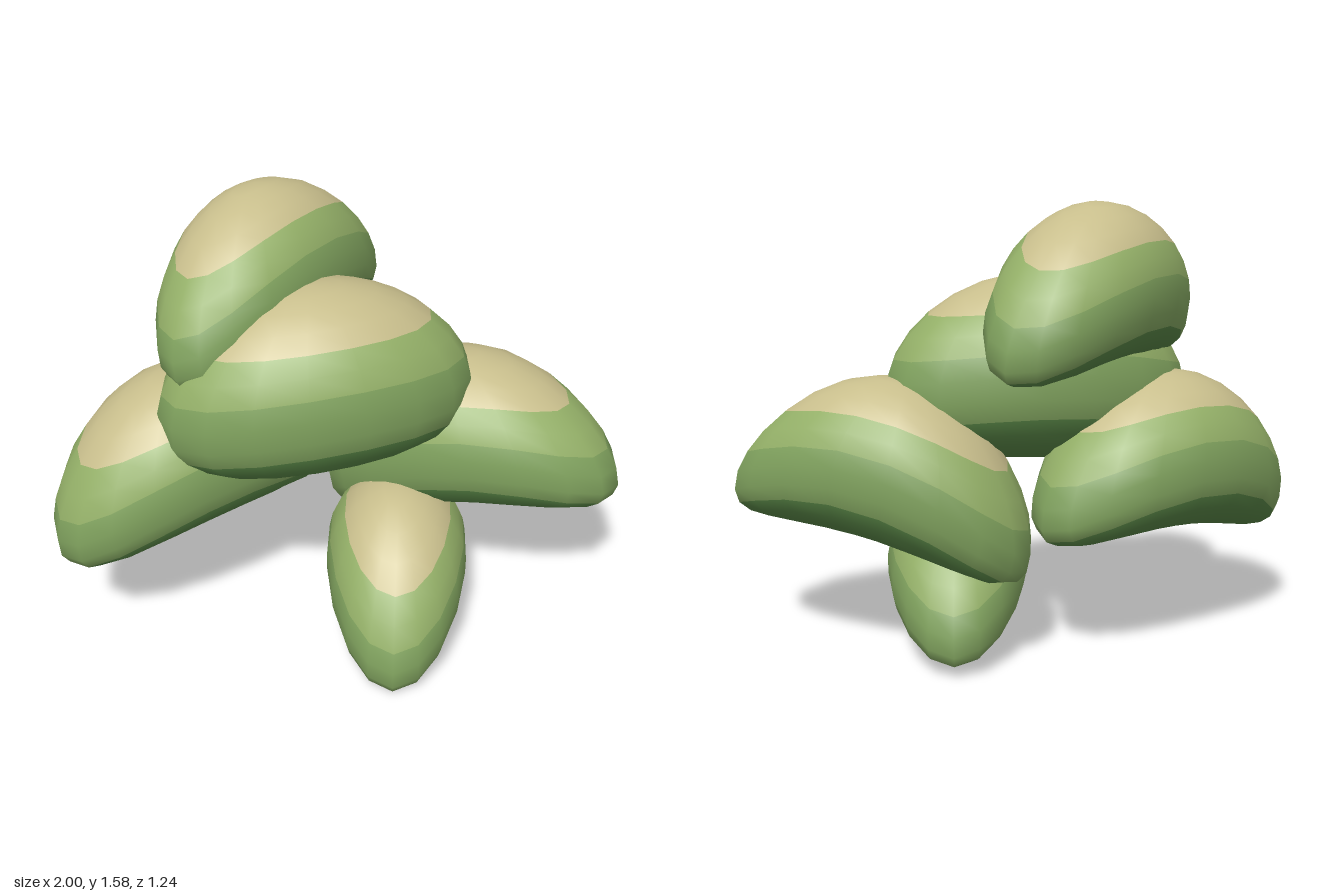
import * as THREE from 'three';
import { mergeVertices } from 'three/addons/utils/BufferGeometryUtils.js';

const SEGMENTS = 18, RINGS = 15;

// colour bands of each lobe, counted in rings from the top
const BANDS = [
  { name: 'crown', from: 0, to: 4, color: 0xc8be8c },
  { name: 'upperSide', from: 4, to: 6, color: 0x94b068 },
  { name: 'lowerSide', from: 6, to: 9, color: 0x80a25e },
  { name: 'underside', from: 9, to: 15, color: 0x568244 },
].map((b) => ({ ...b, material: new THREE.MeshStandardMaterial({ color: b.color }) }));

// first index of a ring (the polar ring has one triangle per segment)
const ringStart = (r) => r === 0 ? 0 : r === RINGS ? 6 * SEGMENTS * (RINGS - 1) : 3 * SEGMENTS + 6 * SEGMENTS * (r - 1);

// bean-like lobe: round in section, with drooping ends
function lobe({ name, a, b, h, droop = 0.19, pos, turn, tilt, roll = 0 }) {
  let geo = new THREE.SphereGeometry(1, SEGMENTS, RINGS);
  geo.deleteAttribute('uv');
  geo.deleteAttribute('normal');
  geo = mergeVertices(geo, 1e-4);
  const p = geo.attributes.position;
  for (let i = 0; i < p.count; i++) {
    const u = p.getX(i), v = p.getY(i), w = p.getZ(i);
    const rise = v > 0 ? 0.28 * v : -0.24 * Math.pow(-v, 0.85);
    p.setXYZ(i, u * a, (0.01 - droop * u * u + rise) * h, w * b);
  }
  geo.computeVertexNormals();

  const group = new THREE.Group();
  group.name = name;
  const index = Array.from(geo.index.array);
  for (const band of BANDS) {
    const part = new THREE.BufferGeometry();
    part.setAttribute('position', geo.attributes.position);
    part.setAttribute('normal', geo.attributes.normal);
    part.setIndex(index.slice(ringStart(band.from), ringStart(band.to)));
    const mesh = new THREE.Mesh(part, band.material);
    mesh.name = band.name;
    group.add(mesh);
  }
  const [x, y, z] = [roll, turn, tilt].map(THREE.MathUtils.degToRad);
  group.rotation.set(x, y, z, 'YXZ');
  group.position.set(...pos);
  return group;
}

export function createModel() {
  const model = new THREE.Group();
  model.name = 'stackedLobes';
  const lobes = [
    { name: 'topLobe', a: 0.53, b: 0.265, h: 1, pos: [-0.19, 1.295, -0.215], turn: 45, tilt: 0, roll: -8 },
    { name: 'middleLobe', a: 0.555, b: 0.335, h: 1.26, droop: 0.06, pos: [-0.065, 0.967, 0.055], turn: 5, tilt: 3 },
    { name: 'rightLobe', a: 0.55, b: 0.3, h: 1.08, pos: [-0.5, 0.68, -0.075], turn: 24, tilt: 5 },
    { name: 'leftLobe', a: 0.55, b: 0.3, h: 1.08, pos: [0.48, 0.68, -0.015], turn: -30, tilt: 12 },
    { name: 'bottomLobe', a: 0.495, b: 0.255, h: 1, pos: [0.215, 0.285, 0.147], turn: 77, tilt: 2 },
  ];
  for (const spec of lobes) model.add(lobe(spec));
  return model;
}
